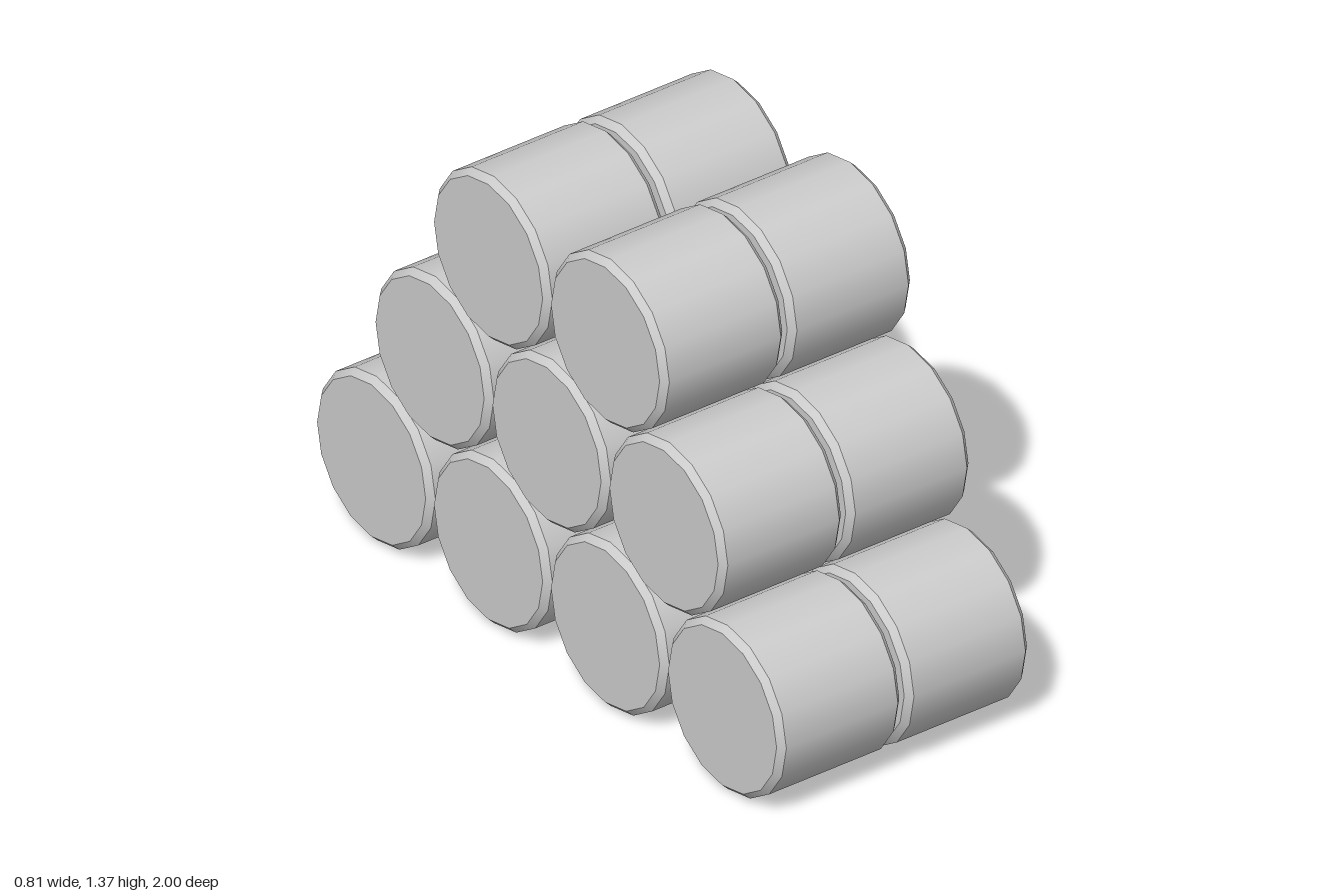
import * as THREE from 'three';
import { mergeGeometries } from 'three/addons/utils/BufferGeometryUtils.js';

const SIDES = 16, RADIUS = 0.25, BEVEL = 0.018, INNER = 0.008, OUTER = 0.405;

// One chamfered drum lying along x: smooth wall, crisp bevels, flat caps
function drumGeometry() {
  const length = OUTER - INNER;
  const wall = new THREE.CylinderGeometry(RADIUS, RADIUS, length - 2 * BEVEL, SIDES, 1, true);
  const y = (length - BEVEL) / 2;
  const parts = [wall];
  for (const end of [1, -1]) {
    const bevel = new THREE.CylinderGeometry(RADIUS - BEVEL, RADIUS, BEVEL, SIDES, 1, true);
    const cap = new THREE.CircleGeometry(RADIUS - BEVEL, SIDES);
    cap.rotateX(-Math.PI / 2).translate(0, BEVEL / 2, 0);
    for (const g of [bevel, cap]) {
      if (end < 0) g.rotateX(Math.PI);
      parts.push(g.translate(0, end * y, 0));
    }
  }
  return mergeGeometries(parts).rotateZ(Math.PI / 2);
}

export function createModel() {
  const model = new THREE.Group();
  model.name = 'drumStack';
  const grey = new THREE.MeshStandardMaterial({ color: 0xcccccc });
  grey.name = 'light grey';
  const geometry = drumGeometry();

  // Rows of four, three and two, nested like a pyramid, each drum doubled along x
  [4, 3, 2].forEach((count, row) => {
    const layer = new THREE.Group();
    layer.name = `drumRow${row + 1}`;
    for (let i = 0; i < count; i++) {
      for (const side of [1, -1]) {
        const drum = new THREE.Mesh(geometry, grey);
        drum.name = side > 0 ? 'leftDrum' : 'rightDrum';
        drum.position.set(
          side * (INNER + OUTER) / 2,
          RADIUS + row * RADIUS * Math.sqrt(3),
          (i - (count - 1) / 2) * 2 * RADIUS
        );
        layer.add(drum);
      }
    }
    model.add(layer);
  });
  return model;
}
